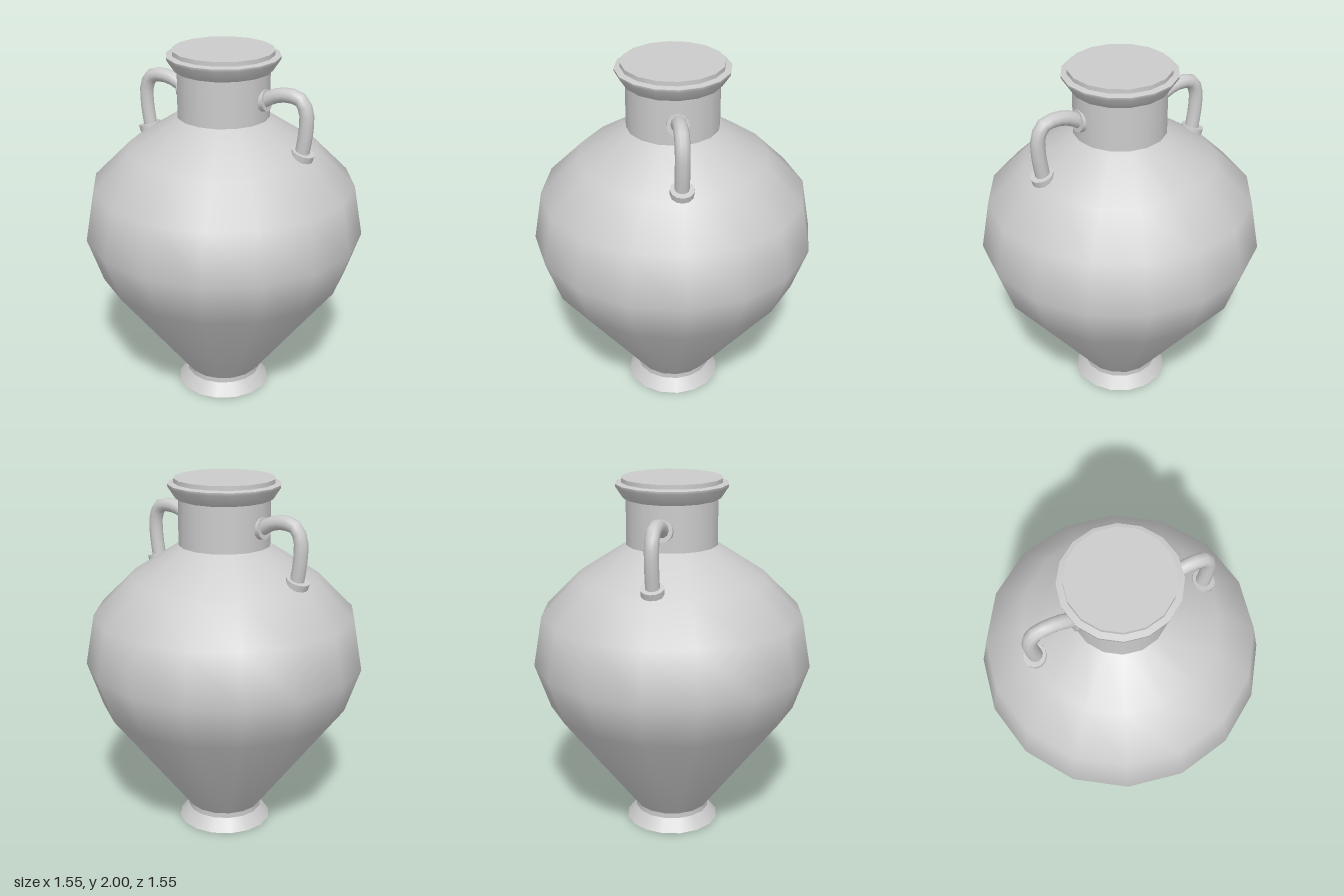
import * as THREE from 'three';

const material = new THREE.MeshStandardMaterial({ color: 0xcccccc });
const SIDES = 16;

function add(parent, name, geometry) {
  const mesh = new THREE.Mesh(geometry, material);
  mesh.name = name;
  parent.add(mesh);
  return mesh;
}

// Turned part; each profile is smooth and edges between parts stay sharp
function turned(parent, name, profile) {
  const points = profile.map(([r, y]) => new THREE.Vector2(r, y));
  return add(parent, name, new THREE.LatheGeometry(points, SIDES));
}

// Short disc whose axis lies in the xy plane
function collar(parent, name, x, y, radius, height, axis) {
  const mesh = add(parent, name, new THREE.CylinderGeometry(radius, radius, height, 12));
  mesh.position.set(x, y, 0);
  mesh.quaternion.setFromUnitVectors(new THREE.Vector3(0, 1, 0), axis.normalize());
}

function makeHandle(name) {
  const handle = new THREE.Group();
  handle.name = name;
  const path = new THREE.CatmullRomCurve3([
    [0.24, 1.75], [0.31, 1.79], [0.39, 1.805], [0.46, 1.79],
    [0.493, 1.73], [0.495, 1.63], [0.473, 1.48],
  ].map(([x, y]) => new THREE.Vector3(x, y, 0)));
  add(handle, 'handleBar', new THREE.TubeGeometry(path, 12, 0.039, 10));
  collar(handle, 'neckCollar', 0.25, 1.757, 0.06, 0.03, new THREE.Vector3(1, 0.15, 0));
  collar(handle, 'shoulderCollar', 0.479, 1.496, 0.063, 0.036, new THREE.Vector3(0.3, 0.95, 0));
  return handle;
}

export function createModel() {
  const jar = new THREE.Group();
  jar.name = 'jar';

  // Hollow foot
  turned(jar, 'footFlare', [[0.265, 0], [0.212, 0.07]]);
  turned(jar, 'footBand', [[0.212, 0.07], [0.212, 0.105]]);
  turned(jar, 'footRing', [[0.205, 0], [0.265, 0]]);
  turned(jar, 'footInnerWall', [[0.205, 0.06], [0.205, 0]]);
  turned(jar, 'footRecess', [[0, 0.06], [0.205, 0.06]]);

  // Belly and shoulder
  turned(jar, 'body', [
    [0.212, 0.1], [0.69, 0.73], [0.775, 0.98],
    [0.725, 1.26], [0.52, 1.465], [0.25, 1.64],
  ]);

  // Neck, flared rim and closed mouth
  turned(jar, 'neck', [[0.252, 1.63], [0.252, 1.9]]);
  turned(jar, 'rim', [[0.25, 1.888], [0.265, 1.893], [0.306, 1.955], [0.308, 1.97]]);
  turned(jar, 'rimTop', [[0.308, 1.97], [0.272, 1.977]]);
  turned(jar, 'lidEdge', [[0.275, 1.97], [0.275, 2]]);
  turned(jar, 'lid', [[0.275, 2], [0, 2]]);

  // Matching handles
  const left = makeHandle('leftHandle');
  const right = makeHandle('rightHandle');
  right.rotation.y = Math.PI;
  jar.add(left, right);

  return jar;
}
